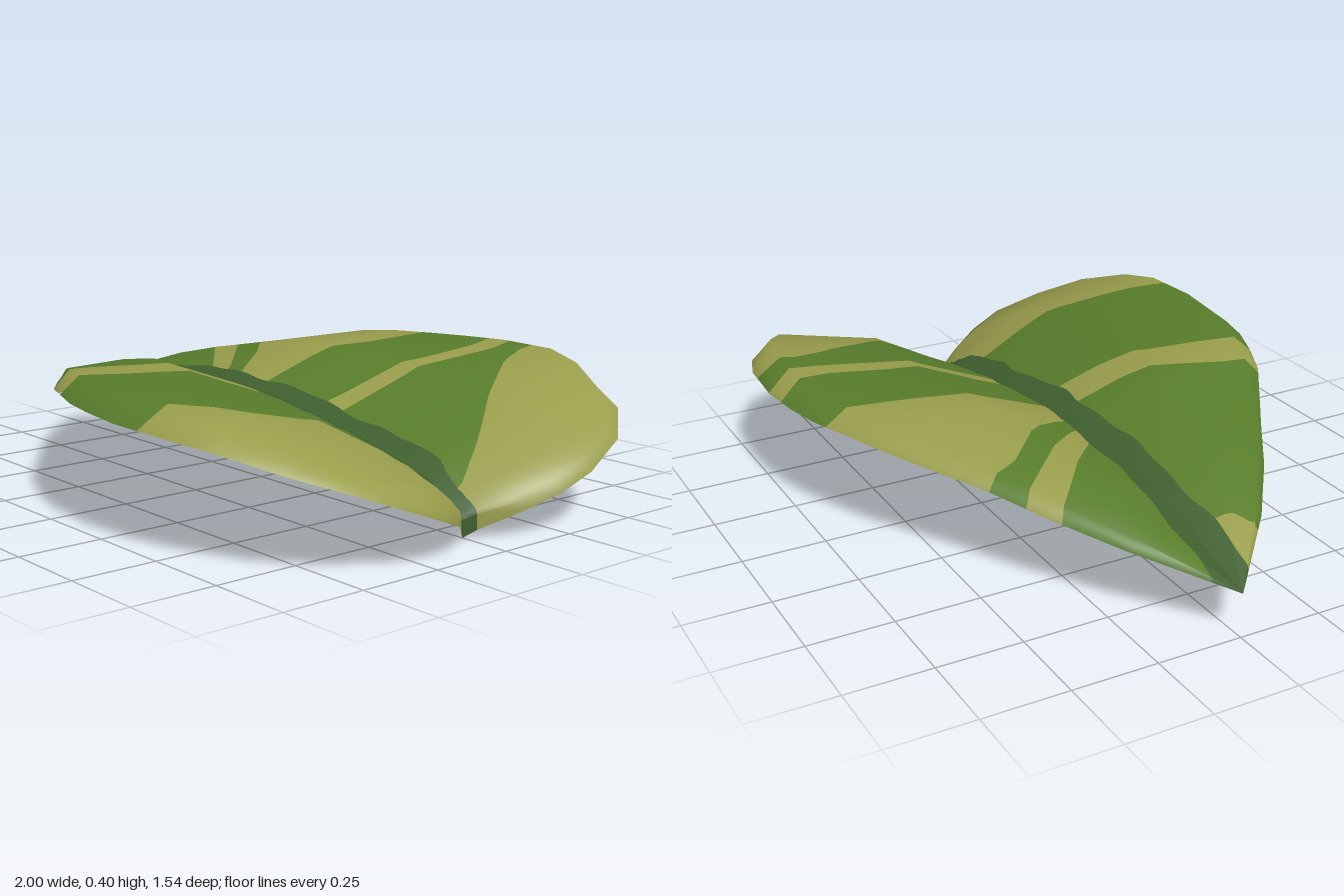
import * as THREE from 'three';

// Stations along the half leaf: spine x, spine y, edge x, edge z, crest y, edge y
const STATIONS = [
  [-1, .13, -1, 0, .13, .13], [-.79, .19, -.78, .21, .235, .2], [-.62, .235, -.6, .345, .285, .245],
  [-.47, .257, -.45, .44, .32, .28], [-.2, .275, -.17, .625, .375, .325], [-.08, .272, -.05, .68, .385, .335],
  [.05, .265, .08, .73, .387, .337], [.16, .252, .2, .757, .39, .337], [.29, .232, .35, .77, .395, .332],
  [.45, .203, .55, .755, .395, .325], [.57, .177, .68, .715, .375, .31], [.68, .148, .85, .625, .32, .27],
  [.74, .122, .96, .49, .255, .22], [.785, .095, 1, .33, .2, .158], [.81, .078, .99, .22, .15, .115],
  [.83, .065, .95, .12, .1, .075], [.84, .055, .87, .03, .062, .022], [.845, .05, .845, 0, .05, 0],
];
const ACROSS = [0, .42, .91, 1];

// Pale stripes: left and right borders as [z, x] points; a missing border is open
const STRIPES = [
  { l: [[-.33, -.64], [-.21, -.5], [-.07, -.33], [0, -.25]], r: [[-.39, -.55], [-.24, -.41], [-.09, -.26], [0, -.2]], side: -1 },
  { l: [[-.45, -.45], [-.34, -.4], [-.18, -.24], [-.06, -.17]], r: [[-.72, .04], [-.45, .02], [-.24, -.02], [-.06, -.03]], side: -1 },
  { l: [[-.77, .27], [-.6, .3], [-.34, .28], [-.06, .23]], r: [[-.77, .36], [-.6, .375], [-.29, .34], [-.06, .31]], side: -1 },
  { l: [[-.77, .5], [-.67, .45], [-.53, .5], [-.34, .62], [-.18, .73], [-.06, .79]], side: -1 },
  { r: [[.07, -.77], [.12, -.78], [.15, -.83], [.2, -.81]], side: 1 },
  { l: [[.06, -.05], [.2, -.06], [.35, -.11], [.5, -.17], [.62, -.19]], r: [[.06, .09], [.2, .08], [.35, .03], [.5, 0], [.68, -.05]], side: 1 },
  { l: [[.05, .6], [.2, .61], [.35, .6], [.5, .56], [.65, .5], [.77, .44]], side: 1 },
];

function lookup(points, z) {
  if (z <= points[0][0]) return points[0][1];
  for (let i = 1; i < points.length; i++) {
    const [z0, x0] = points[i - 1], [z1, x1] = points[i];
    if (z <= z1) return x0 + (x1 - x0) * (z - z0) / (z1 - z0);
  }
  return points[points.length - 1][1];
}

// Positive inside the midrib: slightly wavy, tapering into the notch
function ribField([x, , z]) {
  const wave = .006 * Math.sin(14 * x + z * 9) + .004 * Math.sin(31 * x);
  const taper = x > .7 ? Math.max(0, (x - .7) * .17) : 0;
  return .058 + wave - taper - Math.abs(z);
}

// Positive inside any pale stripe on the given half
function stripeField([x, , z], side) {
  let best = -1;
  for (const s of STRIPES) {
    if (s.side !== side) continue;
    const left = s.l ? x - lookup(s.l, z) : 1;
    const right = s.r ? lookup(s.r, z) - x : 1;
    best = Math.max(best, Math.min(left, right));
  }
  return best;
}

const mix = (a, b, t) => a.map((v, i) => v + (b[i] - v) * t);

// Cuts a triangle along field = 0 into inside and outside triangles
function split(tri, field, inside, outside) {
  const f = tri.map(field);
  for (const [sign, out] of [[1, inside], [-1, outside]]) {
    const poly = [];
    for (let i = 0; i < 3; i++) {
      const j = (i + 1) % 3, a = f[i] * sign, b = f[j] * sign;
      if (a > 0 || (a === 0 && sign < 0)) poly.push(tri[i]);
      if (a * b < 0) poly.push(mix(tri[i], tri[j], a / (a - b)));
    }
    for (let i = 2; i < poly.length; i++) out.push([poly[0], poly[i - 1], poly[i]]);
  }
}

function subdivide(tri, depth, out) {
  if (depth === 0) { out.push(tri); return; }
  const [a, b, c] = tri;
  const ab = mix(a, b, .5), bc = mix(b, c, .5), ca = mix(c, a, .5);
  for (const t of [[a, ab, ca], [ab, b, bc], [ca, bc, c], [ab, bc, ca]]) subdivide(t, depth - 1, out);
}

// One half of the blade as triangles of [x, y, z, nx, ny, nz] corners
function halfBlade(side) {
  const pos = [], index = [], n = ACROSS.length;
  for (const [sx, sy, ex, ez, crest, edge] of STATIONS) {
    const heights = [sy, sy + (crest - sy) * .46 + .05 * Math.min(1, ez / .6), crest, edge];
    ACROSS.forEach((t, j) => pos.push(sx + (ex - sx) * t, heights[j], side * ez * t));
  }
  for (let i = 0; i < STATIONS.length - 1; i++) {
    for (let j = 0; j < n - 1; j++) {
      const a = i * n + j, b = a + 1, c = a + n, d = c + 1;
      index.push(...(side > 0 ? [a, b, c, b, d, c] : [a, c, b, b, c, d]));
    }
  }
  const g = new THREE.BufferGeometry();
  g.setAttribute('position', new THREE.Float32BufferAttribute(pos, 3));
  g.setIndex(index);
  g.computeVertexNormals();
  const nor = g.attributes.normal.array;
  const corner = k => [...pos.slice(k * 3, k * 3 + 3), ...nor.slice(k * 3, k * 3 + 3)];
  const tris = [];
  for (let k = 0; k < index.length; k += 3) {
    const tri = index.slice(k, k + 3).map(corner);
    const [p, q, r] = tri.map(v => new THREE.Vector3(v[0], v[1], v[2]));
    if (q.sub(p).cross(r.sub(p)).length() > 1e-7) subdivide(tri, 3, tris);
  }
  return tris;
}

function surface(name, tris, material) {
  const pos = [], nor = [];
  for (const tri of tris) for (const v of tri) {
    pos.push(v[0], v[1], v[2]);
    nor.push(v[3], v[4], v[5]);
  }
  const g = new THREE.BufferGeometry();
  g.setAttribute('position', new THREE.Float32BufferAttribute(pos, 3));
  g.setAttribute('normal', new THREE.Float32BufferAttribute(nor, 3));
  g.normalizeNormals();
  const mesh = new THREE.Mesh(g, material);
  mesh.name = name;
  return mesh;
}

export function createModel() {
  const paint = (name, color) => {
    const m = new THREE.MeshStandardMaterial({ color, side: THREE.DoubleSide });
    m.name = name;
    return m;
  };
  const green = paint('leaf green', 0x587d2b);
  const olive = paint('pale olive', 0x999d4c);
  const dark = paint('midrib green', 0x40602f);

  const leaf = new THREE.Group();
  leaf.name = 'leaf';
  const rib = [];
  for (const side of [1, -1]) {
    const blade = [], pale = [], base = [];
    for (const tri of halfBlade(side)) split(tri, ribField, rib, blade);
    for (const tri of blade) split(tri, p => stripeField(p, side), pale, base);
    const label = side > 0 ? 'front' : 'back';
    leaf.add(surface(label + 'Blade', base, green), surface(label + 'Stripes', pale, olive));
  }
  leaf.add(surface('midrib', rib, dark));
  return leaf;
}
